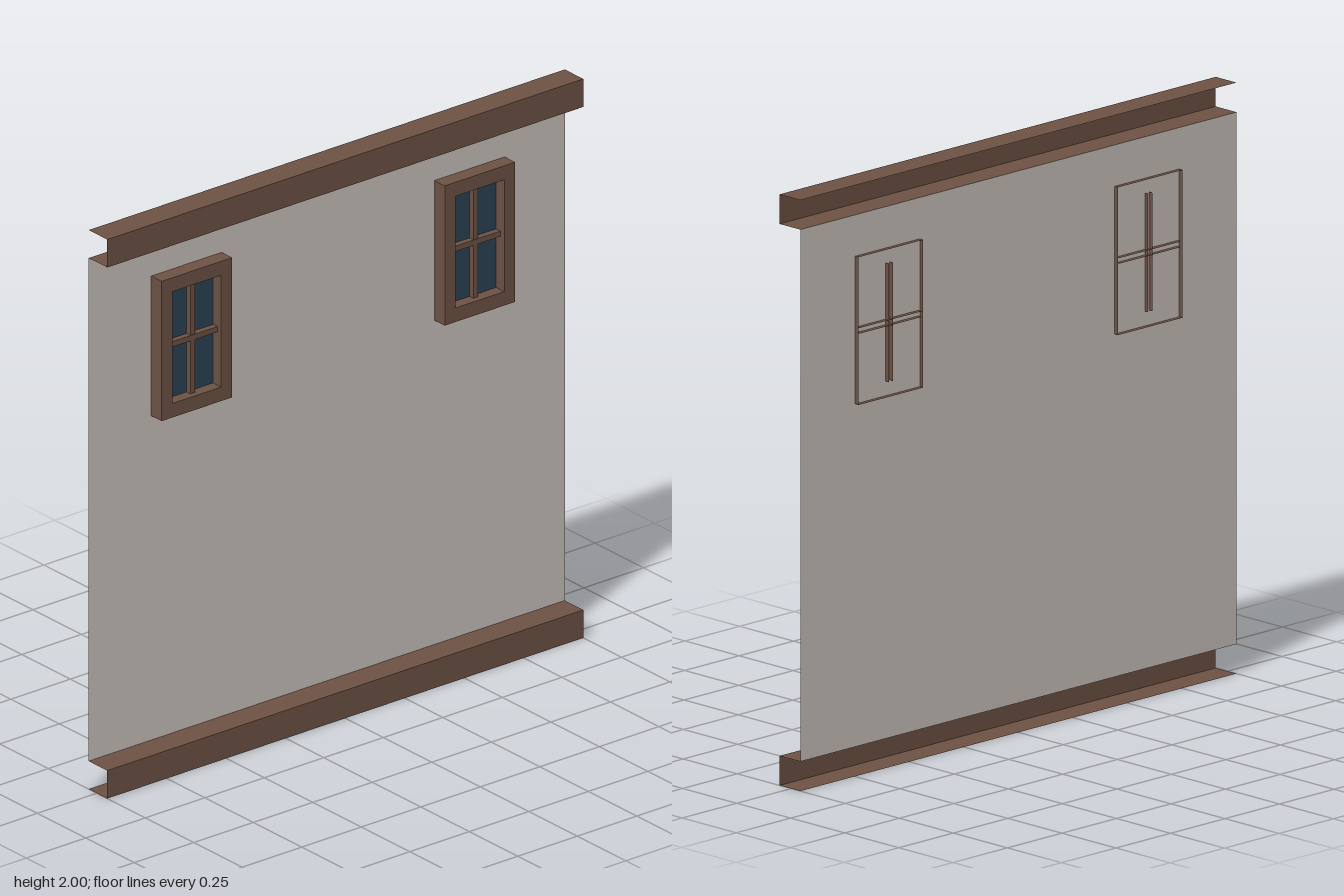
import * as THREE from 'three';

const mat = (name, color) => {
  const m = new THREE.MeshStandardMaterial({ color, side: THREE.DoubleSide });
  m.name = name;
  return m;
};

// Flat-shaded skin over rows of points; each row has the same point count
function loft(rows, closed) {
  const pos = [];
  const n = rows[0].length;
  for (let i = 0; i < rows.length - 1; i++) {
    for (let j = 0; j < (closed ? n : n - 1); j++) {
      const k = (j + 1) % n;
      const [a, b, c, d] = [rows[i][j], rows[i][k], rows[i + 1][k], rows[i + 1][j]];
      pos.push(...a, ...b, ...c, ...a, ...c, ...d);
    }
  }
  const g = new THREE.BufferGeometry();
  g.setAttribute('position', new THREE.Float32BufferAttribute(pos, 3));
  g.computeVertexNormals();
  return g;
}

// Open channel running along z: underside, outer face and top, no back or ends
function channel(back, front, height, length) {
  const h = height / 2, l = length / 2;
  const profile = [[back, -h], [front, -h], [front, h], [back, h]];
  return loft(profile.map(([x, y]) => [[x, y, l], [x, y, -l]]), false);
}

// Rectangle in the wall plane at depth x
const ring = (x, w, h) => [
  [x, -h / 2, w / 2], [x, -h / 2, -w / 2], [x, h / 2, -w / 2], [x, h / 2, w / 2],
];

export function createModel() {
  const timber = mat('brown timber', 0x6d5245);
  const plaster = mat('pale plaster', 0xcbc2bc);
  const glass = mat('dark blue glass', 0x2c4154);

  const model = new THREE.Group();
  model.name = 'wallPanel';
  const add = (parent, name, geometry, material, y = 0) => {
    const mesh = new THREE.Mesh(geometry, material);
    mesh.name = name;
    mesh.position.y = y;
    parent.add(mesh);
    return mesh;
  };

  const wallX = -0.042, backX = -0.058;

  // Thin plaster sheet between the two beams
  const wall = add(model, 'wall', new THREE.PlaneGeometry(2, 1.8), plaster, 1);
  wall.rotation.y = Math.PI / 2;
  wall.position.x = wallX;

  // Beams along the foot and the head of the wall
  add(model, 'bottomBeam', channel(wallX, 0.054, 0.1, 2), timber, 0.05);
  add(model, 'topBeam', channel(wallX, 0.054, 0.1, 2), timber, 1.95);

  // Windows with a raised frame, recessed glass and crossed bars
  for (const [name, z] of [['frontWindow', 0.589], ['backWindow', -0.6]]) {
    const win = new THREE.Group();
    win.name = name;
    win.position.set(0, 1.51, z);
    const frame = loft([
      ring(backX, 0.296, 0.5), ring(0.012, 0.296, 0.5),
      ring(0.012, 0.204, 0.4), ring(-0.03, 0.204, 0.4),
    ], true);
    add(win, 'windowFrame', frame, timber);
    const pane = add(win, 'windowGlass', new THREE.PlaneGeometry(0.204, 0.4), glass);
    pane.rotation.y = Math.PI / 2;
    pane.position.x = -0.03;
    add(win, 'crossBar', channel(backX, -0.008, 0.019, 0.28), timber);
    const upright = add(win, 'uprightBar', channel(backX, -0.01, 0.019, 0.4), timber);
    upright.rotation.x = Math.PI / 2;
    model.add(win);
  }
  return model;
}
